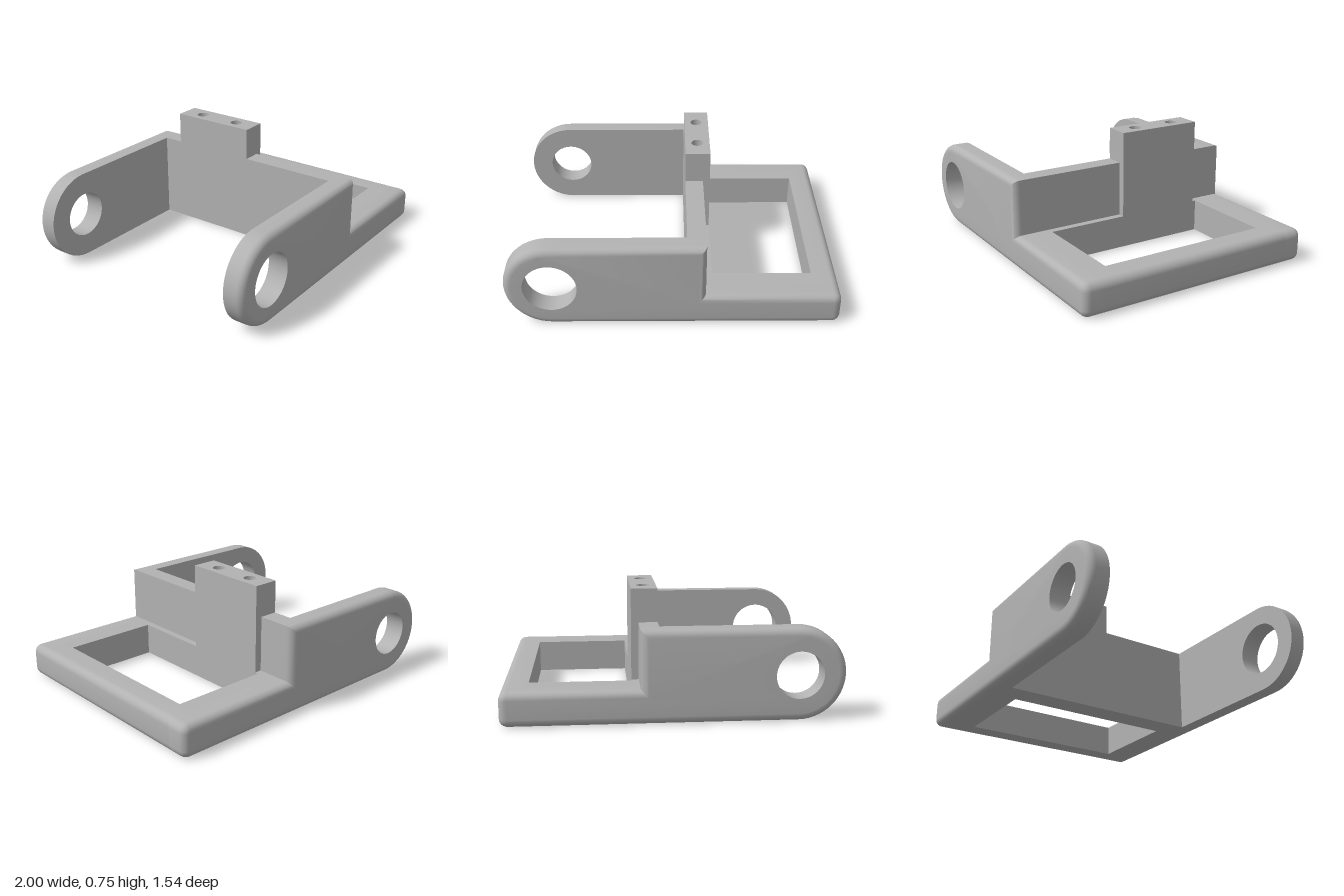
import * as THREE from 'three';
import { mergeGeometries, toCreasedNormals } from 'three/addons/utils/BufferGeometryUtils.js';

const W = 0.772, INNER = 0.645, WINDOW = 0.543;   // half widths: outside, between arms, window
const BASE = 0.205, ARM = 0.55, FILLET = 0.045, CORNER = 0.05;
const PIVOT = [-0.725, 0.275];

// points along an arc, counter-clockwise
function arc(cx, cy, r, a0, a1, n) {
  return Array.from({ length: n + 1 }, (_, i) => {
    const a = a0 + (a1 - a0) * i / n;
    return new THREE.Vector2(cx + r * Math.cos(a), cy + r * Math.sin(a));
  });
}

// side outline: round-ended arm stepping down to the low frame, shrunk by d
function sideOutline(d) {
  const h = Math.PI / 2, r = CORNER - d;
  return [
    ...arc(1 - CORNER, CORNER, r, -h, 0, 6),
    ...arc(1 - CORNER, BASE - CORNER, r, 0, h, 6),
    new THREE.Vector2(0.193 - d, BASE - d),
    new THREE.Vector2(0.193 - d, ARM - d),
    ...arc(...PIVOT, 0.275 - d, h, 3 * h, 28),
  ];
}

// side plate with a filleted outer face and a pivot hole
function sidePlate(side, holeRadius) {
  const pos = [];
  const put = (...tri) => {
    if (side < 0) tri.reverse();
    for (const [x, y, z] of tri) pos.push(x, y, z * side);
  };
  const skin = (a, za, b, zb) => a.forEach((p, i) => {
    const j = (i + 1) % a.length, q = a[j], s = b[i], t = b[j];
    put([p.x, p.y, za], [q.x, q.y, za], [t.x, t.y, zb]);
    put([p.x, p.y, za], [t.x, t.y, zb], [s.x, s.y, zb]);
  });
  const hole = arc(...PIVOT, holeRadius, 0, Math.PI * 2, 48).slice(0, -1).reverse();
  const cap = (outline, z, back) => {
    const shape = new THREE.Shape(outline);
    shape.holes.push(new THREE.Path(hole));
    const g = new THREE.ShapeGeometry(shape).toNonIndexed();
    const p = g.attributes.position;
    for (let i = 0; i < p.count; i += 3) {
      const tri = [0, 1, 2].map(k => [p.getX(i + k), p.getY(i + k), z]);
      put(...(back ? tri.reverse() : tri));
    }
  };
  const rings = [{ o: sideOutline(0), z: INNER }];
  for (let i = 0; i <= 6; i++) {
    const a = i / 6 * Math.PI / 2;
    rings.push({ o: sideOutline(FILLET * (1 - Math.cos(a))), z: W - FILLET + FILLET * Math.sin(a) });
  }
  for (let i = 1; i < rings.length; i++) skin(rings[i - 1].o, rings[i - 1].z, rings[i].o, rings[i].z);
  skin(hole, INNER, hole, W);
  cap(rings[0].o, INNER, true);
  cap(rings.at(-1).o, W, false);
  const g = new THREE.BufferGeometry();
  g.setAttribute('position', new THREE.Float32BufferAttribute(pos, 3));
  return toCreasedNormals(g, 0.6);
}

// box given by its limits
function block(x0, x1, y0, y1, z0, z1) {
  return new THREE.BoxGeometry(x1 - x0, y1 - y0, z1 - z0)
    .translate((x0 + x1) / 2, (y0 + y1) / 2, (z0 + z1) / 2);
}

export function createModel() {
  const model = new THREE.Group();
  const grey = new THREE.MeshStandardMaterial({ color: 0xb2b2b2 });
  grey.name = 'grey';
  const add = (name, geometry) => {
    const mesh = new THREE.Mesh(geometry, grey);
    mesh.name = name;
    model.add(mesh);
  };

  // side plates, the front one with the larger hole
  add('frontArm', sidePlate(1, 0.16));
  add('backArm', sidePlate(-1, 0.14));

  // low frame around the window
  add('crossBar', block(0.08, 0.237, 0, BASE, -INNER, INNER));
  add('frontRail', block(0.237, 0.84, 0, BASE, WINDOW, INNER));
  add('backRail', block(0.237, 0.84, 0, BASE, -INNER, -WINDOW));
  const h = Math.PI / 2;
  const endShape = new THREE.Shape([
    new THREE.Vector2(0.84, 0),
    ...arc(1 - CORNER, CORNER, CORNER, -h, 0, 6),
    ...arc(1 - CORNER, BASE - CORNER, CORNER, 0, h, 6),
    new THREE.Vector2(0.84, BASE),
  ]);
  const endBar = new THREE.ExtrudeGeometry(endShape, { depth: 2 * INNER, bevelEnabled: false });
  add('endBar', toCreasedNormals(endBar.translate(0, 0, -INNER), 0.6));

  // upright wall on either side of the post
  const z0 = -0.52, z1 = 0.032;
  add('frontWall', block(0.08, 0.193, BASE, ARM, z1, INNER));
  add('backWall', block(0.08, 0.193, BASE, ARM, -INNER, z0));

  // post with two screw holes in its top
  const top = new THREE.Shape([[0.08, -z1], [0.237, -z1], [0.237, -z0], [0.08, -z0]]
    .map(p => new THREE.Vector2(...p)));
  for (const z of [-0.382, -0.106]) {
    top.holes.push(new THREE.Path(arc(0.158, -z, 0.038, 0, Math.PI * 2, 24).slice(0, -1)));
  }
  const drilled = new THREE.ExtrudeGeometry(top, { depth: 0.3, bevelEnabled: false })
    .rotateX(-Math.PI / 2).translate(0, 0.45, 0);
  add('post', mergeGeometries([
    toCreasedNormals(drilled, 0.6),
    block(0.08, 0.237, BASE, 0.45, z0, z1).toNonIndexed(),
  ]));
  return model;
}
